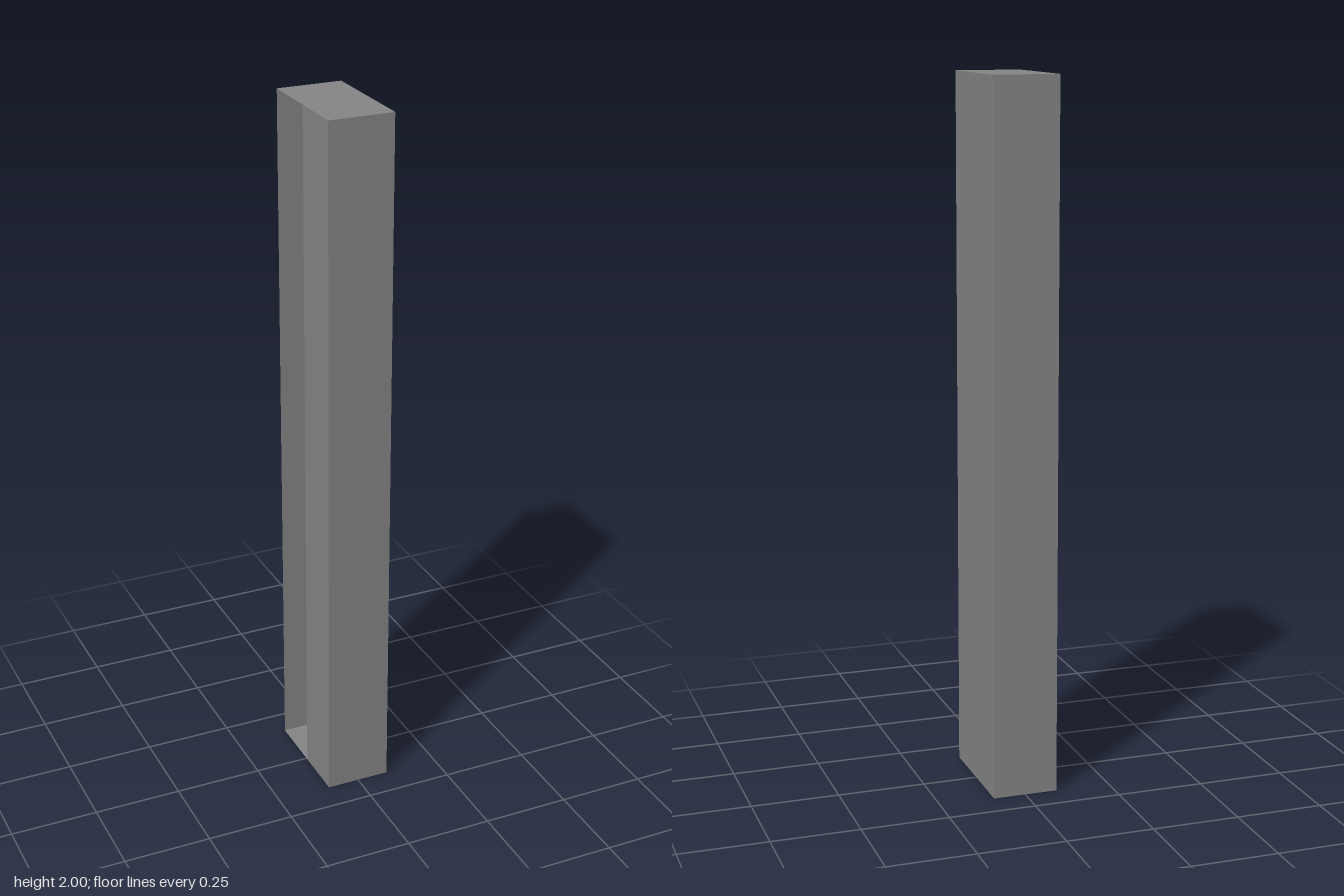
import * as THREE from 'three';

const W = 0.186, H = 2, D = 0.328; // outer size
const SLOT = 0.17;                 // width of the open strip in the -x side

export function createModel() {
  const group = new THREE.Group();
  group.name = 'hollowPost';
  const material = new THREE.MeshStandardMaterial({ color: 0x868686, side: THREE.DoubleSide, flatShading: true });

  // Thin sheet, turned so that its front faces outwards
  const panel = (name, w, h, position, rx = 0, ry = 0) => {
    const mesh = new THREE.Mesh(new THREE.PlaneGeometry(w, h), material);
    mesh.name = name;
    mesh.position.set(...position);
    mesh.rotation.set(rx, ry, 0);
    group.add(mesh);
  };

  // Narrow front and back
  panel('frontPanel', W, H, [0, H / 2, D / 2]);
  panel('backPanel', W, H, [0, H / 2, -D / 2], 0, Math.PI);

  // Full side, and the partial side that leaves a full-height opening at the back
  panel('closedSide', D, H, [W / 2, H / 2, 0], 0, Math.PI / 2);
  panel('openSide', D - SLOT, H, [-W / 2, H / 2, SLOT / 2], 0, -Math.PI / 2);

  // End caps
  panel('topCap', W, D, [0, H, 0], -Math.PI / 2);
  panel('bottomCap', W, D, [0, 0, 0], Math.PI / 2);

  return group;
}
